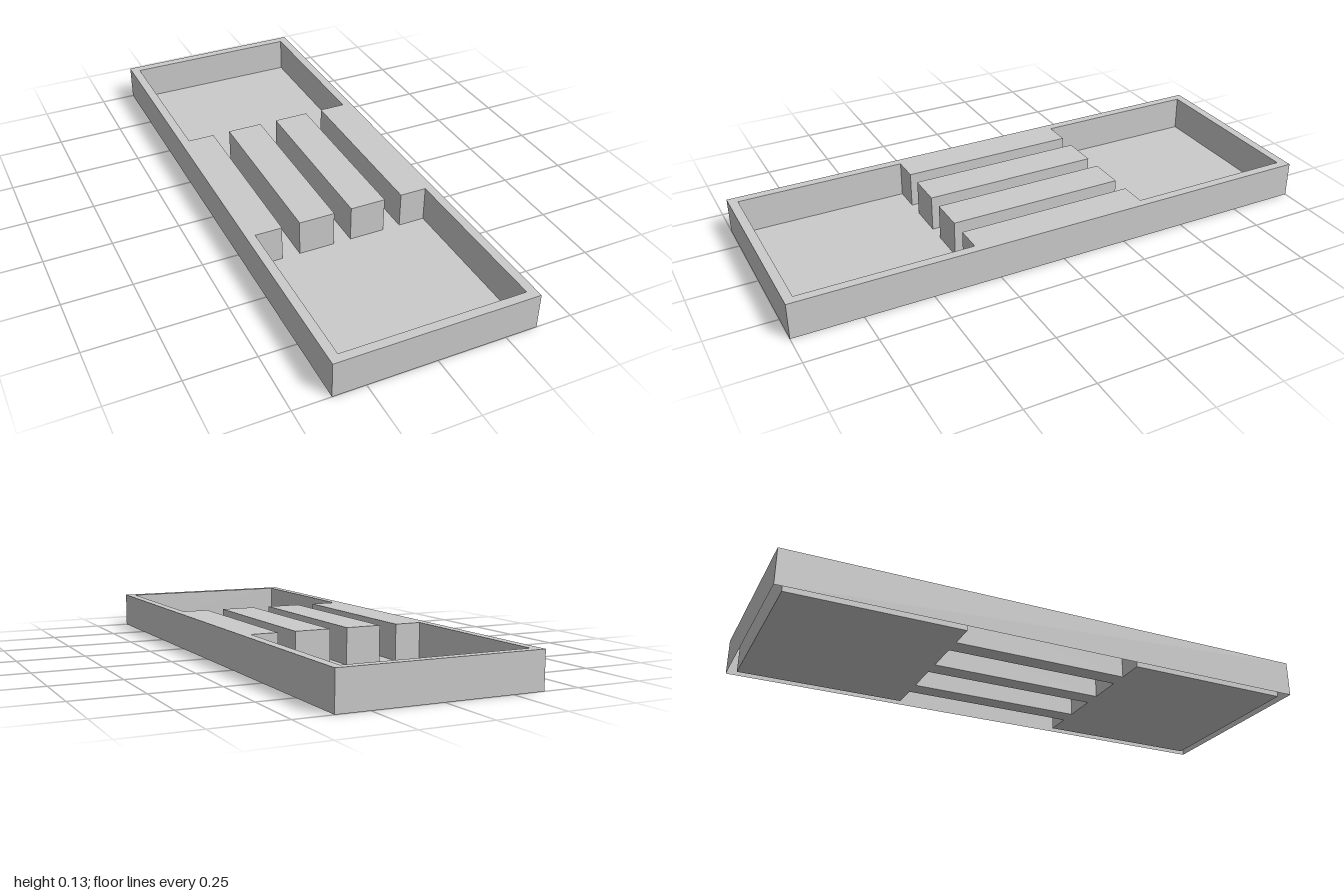
import * as THREE from 'three';

const U = 1 / 30; // layout module
const HEIGHT = 4 * U;

const material = new THREE.MeshStandardMaterial({
  color: 0xcccccc, flatShading: true, side: THREE.DoubleSide,
});

// Counter-clockwise rectangle in plan
const rect = (x0, x1, z0, z1) =>
  [[x0, z0], [x1, z0], [x1, z1], [x0, z1]].map(([x, z]) => new THREE.Vector2(x * U, z * U));

// Horizontal sheet at height y, facing up
function sheet(outline, holes, y) {
  const shape = new THREE.Shape(outline);
  shape.holes = holes.map((h) => new THREE.Path(h));
  return new THREE.ShapeGeometry(shape).rotateX(-Math.PI / 2).translate(0, y, 0);
}

// Vertical walls along a closed loop; counter-clockwise loops face outward
function walls(loop) {
  const positions = [];
  loop.forEach((a, i) => {
    const b = loop[(i + 1) % loop.length];
    positions.push(
      a.x, 0, -a.y, b.x, 0, -b.y, b.x, HEIGHT, -b.y,
      a.x, 0, -a.y, b.x, HEIGHT, -b.y, a.x, HEIGHT, -a.y,
    );
  });
  const geometry = new THREE.BufferGeometry();
  geometry.setAttribute('position', new THREE.Float32BufferAttribute(positions, 3));
  geometry.computeVertexNormals();
  return geometry;
}

export function createModel() {
  const group = new THREE.Group();
  group.name = 'channelTray';
  const add = (name, geometry) => {
    const mesh = new THREE.Mesh(geometry, material);
    mesh.name = name;
    group.add(mesh);
  };

  const outer = rect(-11, 11, -30, 30);

  // Two end basins joined by a narrower middle section
  const cavity = [
    [-10, -29], [10, -29], [10, -10], [7, -10], [7, 10], [10, 10],
    [10, 29], [-10, 29], [-10, 10], [-7, 10], [-7, -10], [-10, -10],
  ].map(([x, z]) => new THREE.Vector2(x * U, z * U));

  // Two long ribs divide the middle into three channels
  const ribs = { rightRib: rect(-5, -1, -10, 10), leftRib: rect(1, 5, -10, 10) };

  // Hollow shell, open underneath the rim and ribs
  add('outerWalls', walls(outer));
  add('rimTop', sheet(outer, [cavity], HEIGHT));
  add('cavityWalls', walls([...cavity].reverse()));
  add('floor', sheet(cavity, Object.values(ribs), 0));
  for (const [name, loop] of Object.entries(ribs)) {
    add(`${name}Walls`, walls(loop));
    add(`${name}Top`, sheet(loop, [], HEIGHT));
  }
  return group;
}
